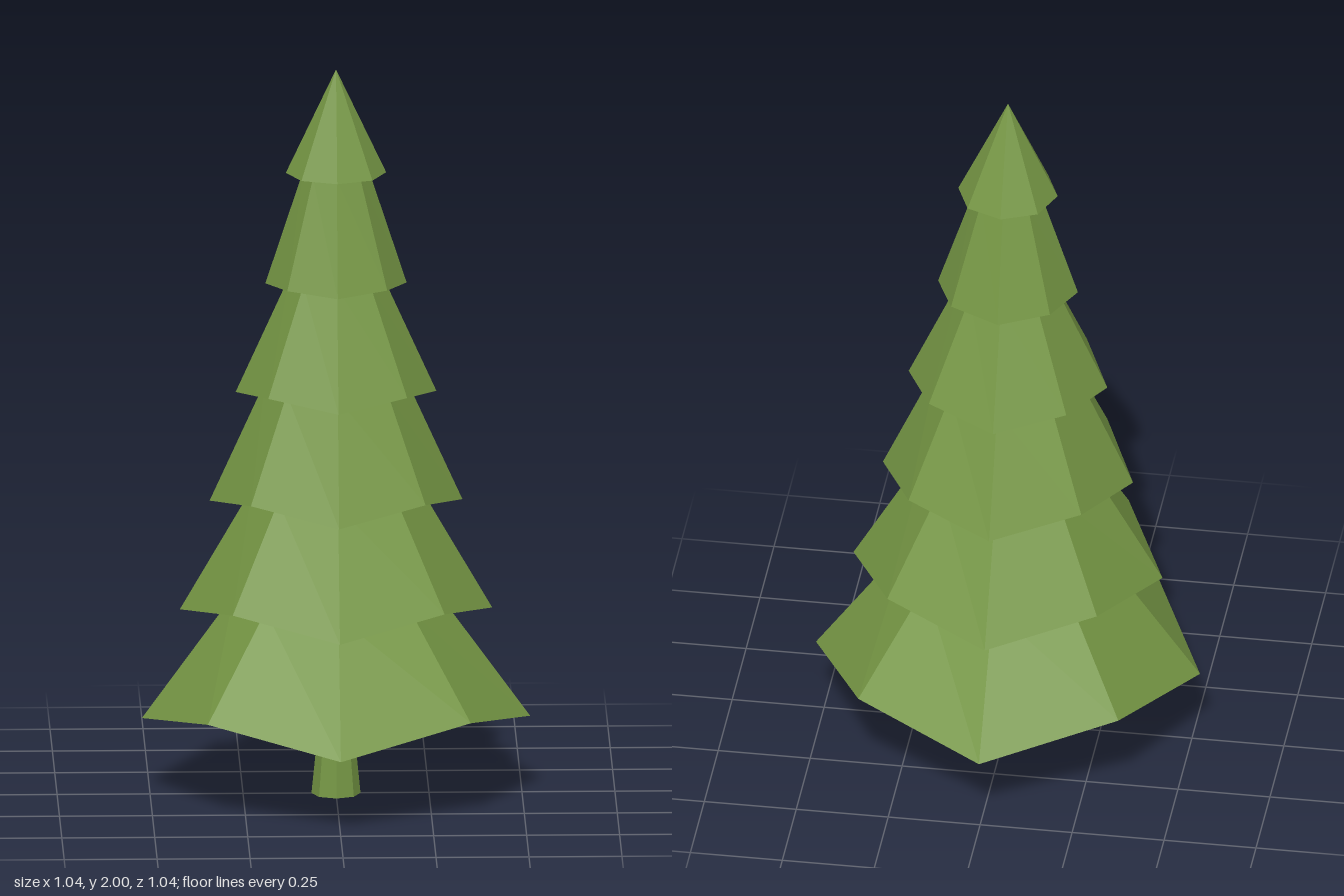
import * as THREE from 'three';

const SIDES = 8;
const green = new THREE.MeshStandardMaterial({ color: 0x759644, flatShading: true });

// Skins octagonal rings listed from top to bottom.
// Ring: [radius, y, diagonal radius, diagonal y]; odd corners use the diagonal values.
function ringMesh(name, rings) {
  const corner = ([r, y, rd = r, yd = y], i) => {
    const a = (i / SIDES) * Math.PI * 2;
    const radius = i % 2 ? rd : r;
    return [radius * Math.sin(a), i % 2 ? yd : y, radius * Math.cos(a)];
  };
  const positions = [];
  for (let k = 0; k < rings.length - 1; k++) {
    const [upper, lower] = [rings[k], rings[k + 1]];
    for (let i = 0; i < SIDES; i++) {
      const u0 = corner(upper, i), u1 = corner(upper, i + 1);
      const l0 = corner(lower, i), l1 = corner(lower, i + 1);
      if (lower[0] > 0) positions.push(...u0, ...l0, ...l1);
      if (upper[0] > 0) positions.push(...u0, ...(lower[0] > 0 ? l1 : l0), ...u1);
    }
  }
  const geometry = new THREE.BufferGeometry();
  geometry.setAttribute('position', new THREE.Float32BufferAttribute(positions, 3));
  geometry.computeVertexNormals();
  const mesh = new THREE.Mesh(geometry, green);
  mesh.name = name;
  return mesh;
}

export function createModel() {
  const tree = new THREE.Group();
  tree.name = 'pineTree';

  // Drooping rims of the branch tiers, top to bottom
  const rims = [
    [0.135, 1.715, 0.135, 1.715],
    [0.19, 1.41, 0.19, 1.42],
    [0.27, 1.11, 0.264, 1.135],
    [0.34, 0.81, 0.332, 0.85],
    [0.42, 0.51, 0.403, 0.56],
    [0.522, 0.21, 0.5, 0.275],
  ];
  // Necks between the tiers: apex first, trunk joint last
  const necks = [[0, 2], [0.09, 1.715], [0.127, 1.425], [0.192, 1.135], [0.225, 0.845], [0.275, 0.55], [0.055, 0.29]];
  rims.forEach((rim, i) => tree.add(ringMesh(`branchTier${i + 1}`, [necks[i], rim, necks[i + 1]])));

  // Trunk, waisted in the middle and closed underneath
  tree.add(ringMesh('trunk', [[0.055, 0.29], [0.05, 0.16], [0.066, 0], [0, 0]]));
  return tree;
}
